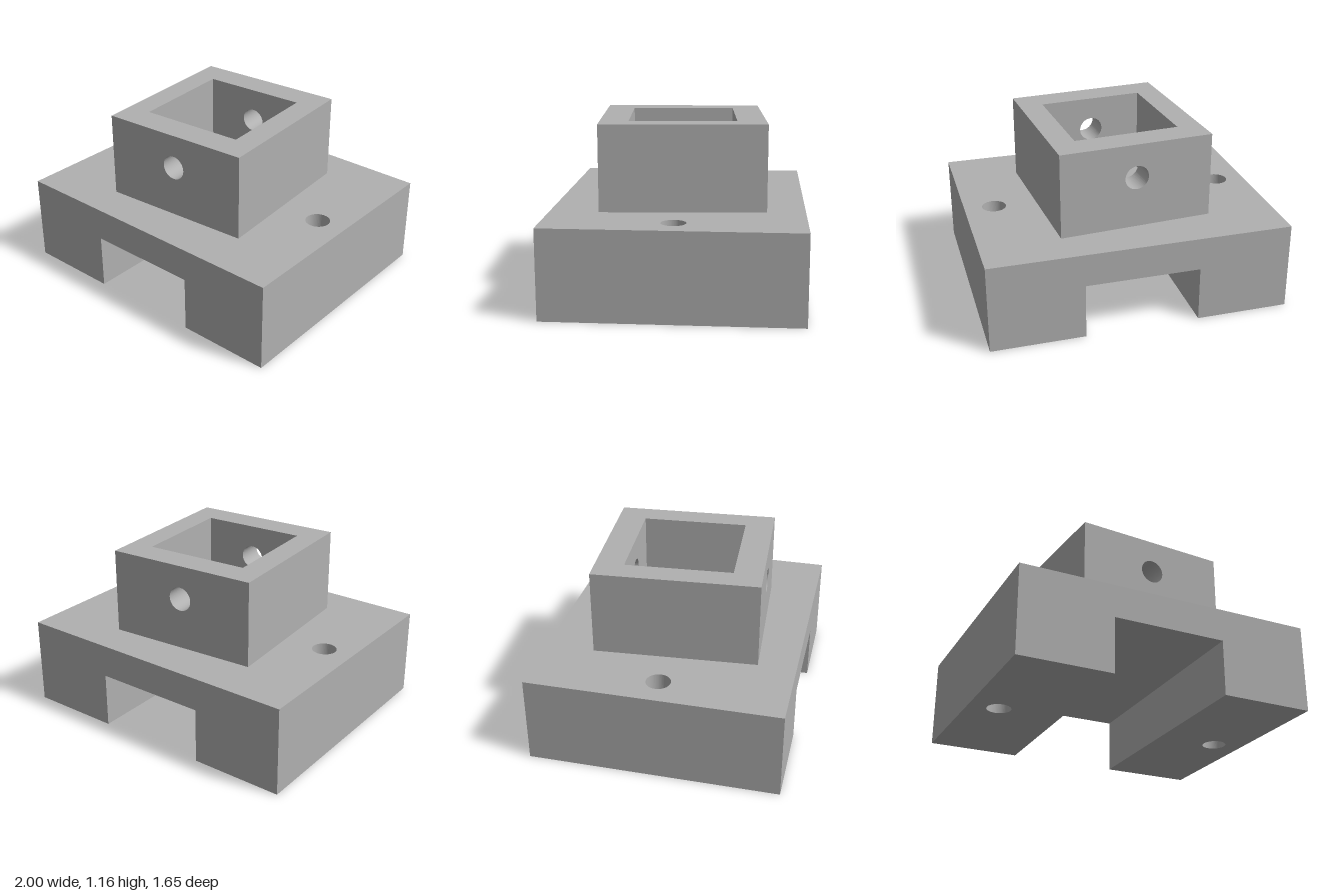
import * as THREE from 'three';

const grey = new THREE.MeshStandardMaterial({ color: 0xb0b0b0 });
grey.name = 'plain grey';

// Rectangular slab (w by h) with a round hole through its thickness d, centred on the origin
function drilledSlab(w, h, d, holeX, holeY, radius) {
  const shape = new THREE.Shape();
  shape.moveTo(-w / 2, -h / 2);
  shape.lineTo(w / 2, -h / 2);
  shape.lineTo(w / 2, h / 2);
  shape.lineTo(-w / 2, h / 2);
  shape.closePath();
  const hole = new THREE.Path();
  hole.absarc(holeX, holeY, radius, 0, Math.PI * 2, true);
  shape.holes.push(hole);
  const geo = new THREE.ExtrudeGeometry(shape, { depth: d, bevelEnabled: false, curveSegments: 32 });
  return geo.translate(0, 0, -d / 2);
}

function add(parent, name, geometry, x, y, z) {
  const mesh = new THREE.Mesh(geometry, grey);
  mesh.name = name;
  mesh.position.set(x, y, z);
  parent.add(mesh);
  return mesh;
}

export function createModel() {
  const model = new THREE.Group();
  model.name = 'mountingBlock';

  // Base: two drilled legs joined by a bridge over the channel
  const baseTop = 0.59, channelTop = 0.37, channelHalf = 0.38, depth = 1.655;
  const legWidth = 1 - channelHalf, legX = (1 + channelHalf) / 2;
  const base = new THREE.Group();
  base.name = 'base';
  for (const side of [-1, 1]) {
    const leg = drilledSlab(legWidth, depth, baseTop, side * (0.8 - legX), 0, 0.08).rotateX(-Math.PI / 2);
    add(base, side > 0 ? 'leftLeg' : 'rightLeg', leg, side * legX, baseTop / 2, 0);
  }
  add(base, 'bridge', new THREE.BoxGeometry(channelHalf * 2, baseTop - channelTop, depth),
    0, (baseTop + channelTop) / 2, 0);
  model.add(base);

  // Socket: open square tube, turned slightly, with cross holes front and back
  const w = 1.025, d = 1.085, inner = 0.705, h = 0.57;
  const socket = new THREE.Group();
  socket.name = 'socket';
  socket.position.y = baseTop + h / 2;
  socket.rotation.y = 0.071;
  const endThick = (d - inner) / 2, sideThick = (w - inner) / 2;
  for (const s of [-1, 1]) {
    add(socket, s > 0 ? 'frontWall' : 'backWall', drilledSlab(w, h, endThick, 0, 0.058, 0.08),
      0, 0, s * (d + inner) / 4);
    add(socket, s > 0 ? 'leftWall' : 'rightWall', new THREE.BoxGeometry(sideThick, h, inner),
      s * (w + inner) / 4, 0, 0);
  }
  model.add(socket);

  return model;
}
